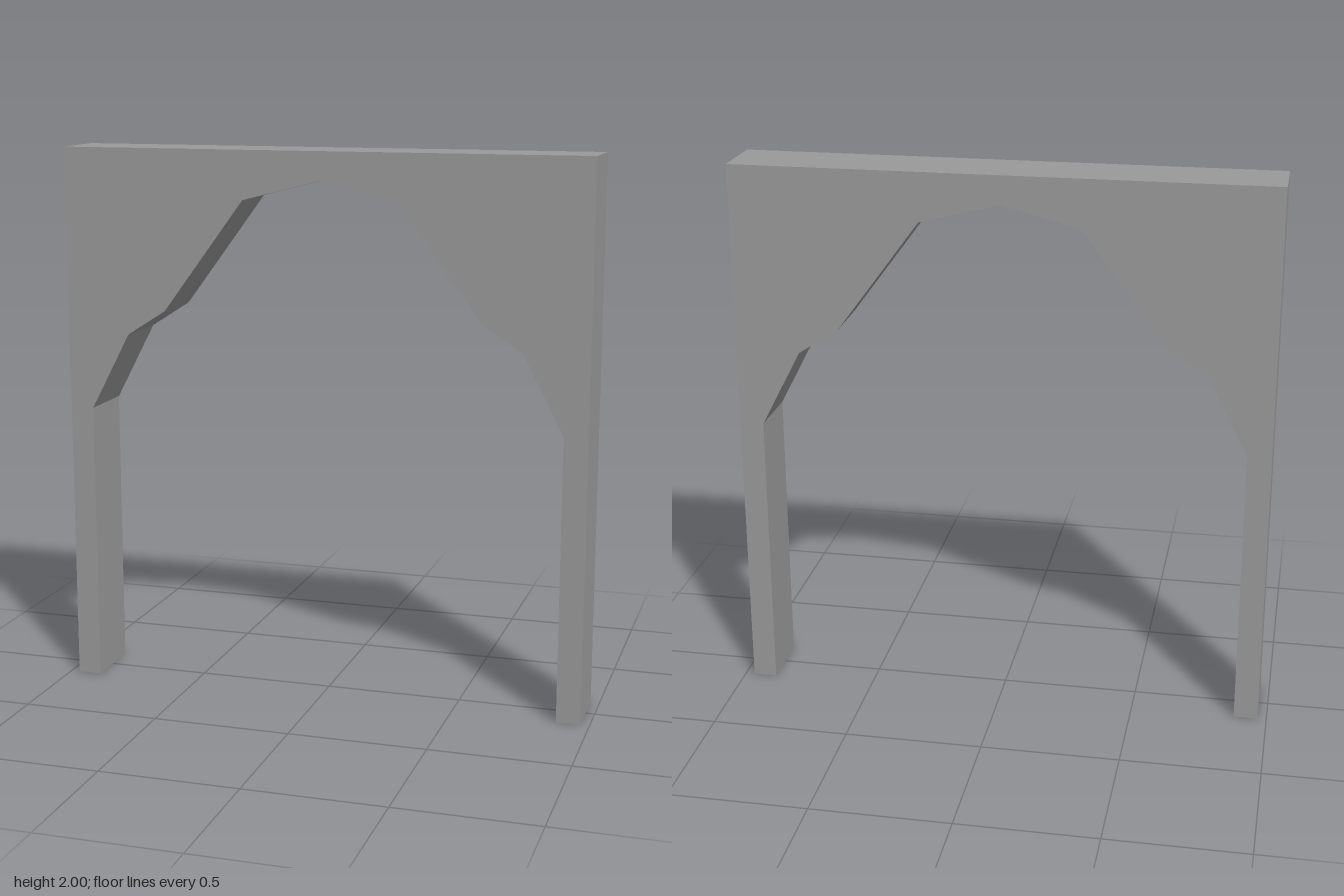
import * as THREE from 'three';
import { toCreasedNormals } from 'three/addons/utils/BufferGeometryUtils.js';

const HALF_WIDTH = 0.967;
const HEIGHT = 2;
const DEPTH = 0.24;

export function createModel() {
  const model = new THREE.Group();
  model.name = 'archway';

  const stone = new THREE.MeshStandardMaterial({ color: 0x999999 });
  stone.name = 'grey stone';

  // One half of the opening, from the floor up to just beside the apex
  const half = [[0.88, 0], [0.88, 1.04], [0.732, 1.322], [0.587, 1.415], [0.285, 1.823]];
  const opening = [
    ...half,
    [0, 1.897],
    ...half.map(([x, y]) => [-x, y]).reverse(),
  ];

  // Outer frame, closed by the angular underside of the arch
  const outline = [
    [-HALF_WIDTH, 0],
    ...opening.slice().reverse(),
    [HALF_WIDTH, 0],
    [HALF_WIDTH, HEIGHT],
    [-HALF_WIDTH, HEIGHT],
  ];
  const shape = new THREE.Shape(outline.map(([x, y]) => new THREE.Vector2(x, y)));

  const geometry = new THREE.ExtrudeGeometry(shape, { depth: DEPTH, bevelEnabled: false });
  geometry.translate(0, 0, -DEPTH / 2);
  geometry.clearGroups();

  // Only the shallow bend in each haunch is smoothed
  const arch = new THREE.Mesh(toCreasedNormals(geometry, 0.45), stone);
  arch.name = 'archWall';
  model.add(arch);

  return model;
}
